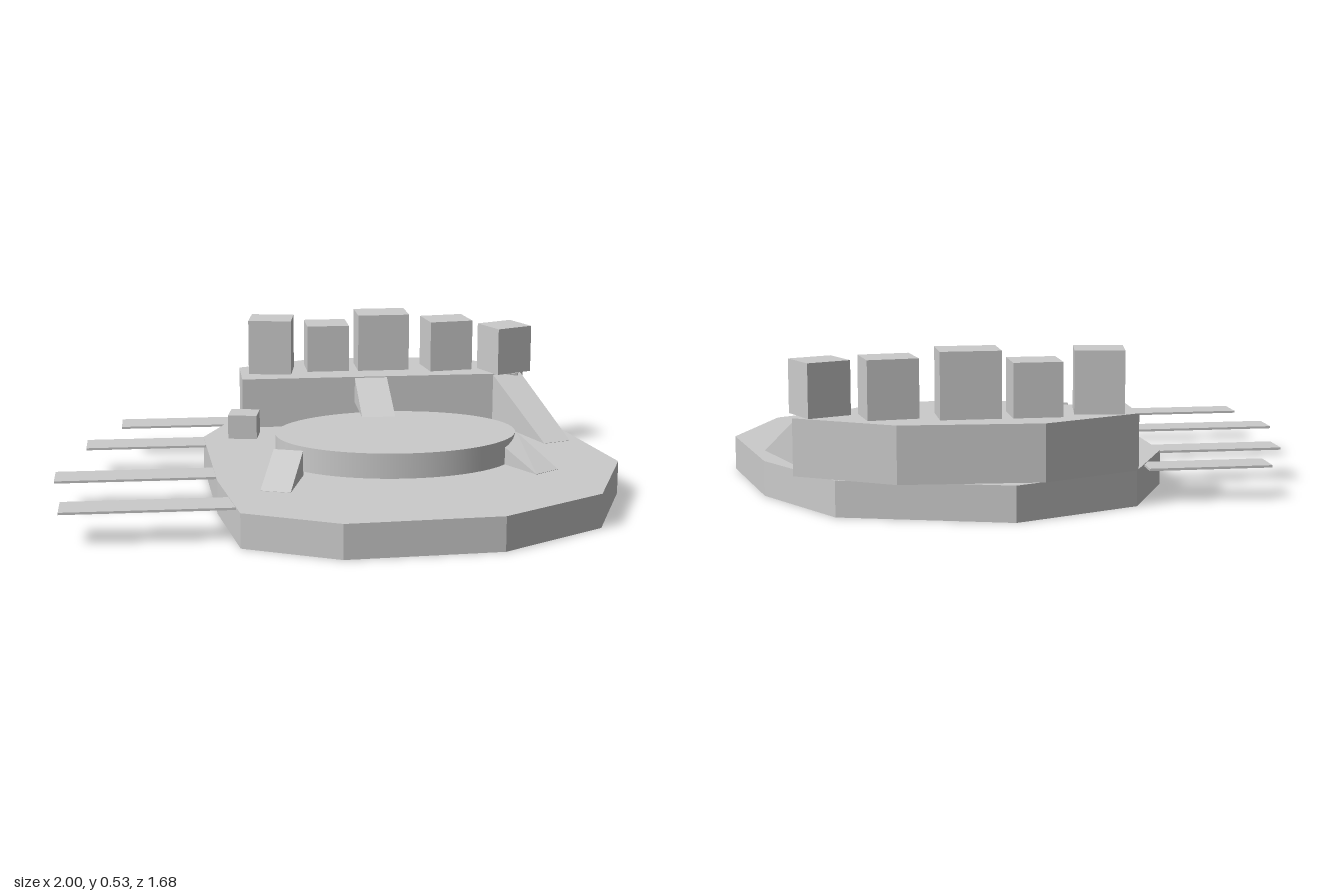
import * as THREE from 'three';

const material = new THREE.MeshStandardMaterial({ color: 0xcccccc, flatShading: true });
const smooth = new THREE.MeshStandardMaterial({ color: 0xcccccc });

// Upright prism over a plan outline of [x, z] points
function prismGeometry(points, y0, y1) {
  const shape = new THREE.Shape(points.map(([x, z]) => new THREE.Vector2(x, -z)));
  const geometry = new THREE.ExtrudeGeometry(shape, { depth: y1 - y0, bevelEnabled: false });
  return geometry.rotateX(-Math.PI / 2).translate(0, y0, 0);
}

// Wedge: the first two plan points stay high, the last two drop to the bottom
function wedgeGeometry(points, y0, y1) {
  const geometry = prismGeometry(points, y0, y1);
  const p = geometry.attributes.position;
  for (let i = 0; i < p.count; i++) {
    const low = points.slice(2).some(([x, z]) => Math.hypot(p.getX(i) - x, p.getZ(i) - z) < 1e-4);
    if (low && p.getY(i) > y0 + 0.01) p.setY(i, y0 + 0.001);
  }
  geometry.computeVertexNormals();
  return geometry;
}

export function createModel() {
  const model = new THREE.Group();
  const add = (name, geometry, mat = material) => {
    const mesh = new THREE.Mesh(geometry, mat);
    mesh.name = name;
    model.add(mesh);
    return mesh;
  };

  // Faceted ground slab
  add('base', prismGeometry([
    [0.12, -0.845], [0.68, -0.68], [0.9, -0.31], [1, 0.19], [0.84, 0.59], [0.47, 0.81],
    [-0.06, 0.84], [-0.38, 0.69], [-0.44, 0.3], [-0.45, 0.1], [-0.47, -0.31], [-0.31, -0.66],
  ], 0, 0.12));

  // Raised terrace along the back
  add('terrace', prismGeometry([
    [-0.315, -0.44], [-0.315, -0.66], [0.02, -0.81], [0.49, -0.78], [0.81, -0.59], [0.76, -0.445],
  ], 0.12, 0.31));

  // Oval central platform
  const platform = add('platform', new THREE.CylinderGeometry(1, 1, 0.09, 64), smooth);
  platform.scale.set(0.435, 1, 0.31);
  platform.position.set(0.215, 0.165, 0.03);

  // Ramps between the levels: [high edge, low edge], bottom, top
  const ramps = [
    ['terraceRamp', [[0.12, -0.45], [0.245, -0.45], [0.245, -0.195], [0.12, -0.195]], 0.209, 0.309],
    ['sideRamp', [[0.66, -0.43], [0.775, -0.47], [0.895, -0.115], [0.79, -0.08]], 0.12, 0.309],
    ['frontRightRamp', [[-0.24, 0.23], [-0.14, 0.265], [-0.2, 0.475], [-0.3, 0.44]], 0.12, 0.209],
    ['frontLeftRamp', [[0.55, 0.13], [0.65, 0.08], [0.76, 0.275], [0.67, 0.335]], 0.12, 0.209],
  ];
  for (const [name, points, y0, y1] of ramps) add(name, wedgeGeometry(points, y0, y1));

  // Block buildings: centre x, z, width, depth, turn, bottom, top
  const blocks = [
    [-0.192, -0.595, 0.165, 0.147, -0.15, 0.31, 0.52],
    [0.027, -0.627, 0.163, 0.147, 0.01, 0.31, 0.49],
    [0.245, -0.627, 0.2, 0.15, 0.01, 0.31, 0.53],
    [0.5, -0.597, 0.17, 0.148, 0.14, 0.31, 0.505],
    [0.718, -0.518, 0.153, 0.145, 0.41, 0.31, 0.49],
    [-0.316, -0.317, 0.108, 0.105, -0.17, 0.12, 0.21],
  ];
  for (const [x, z, w, d, turn, y0, y1] of blocks) {
    const block = add('building', new THREE.BoxGeometry(w, y1 - y0, d));
    block.position.set(x, (y0 + y1) / 2, z);
    block.rotation.y = turn;
  }

  // Thin jetties: outer end, inner end, centre z
  const jetties = [
    [-0.78, -0.36, -0.567], [-0.905, -0.44, -0.255], [-1, -0.43, 0.183], [-0.967, -0.39, 0.558],
  ];
  for (const [x0, x1, z] of jetties) {
    const jetty = add('jetty', new THREE.BoxGeometry(x1 - x0, 0.008, 0.124));
    jetty.position.set((x0 + x1) / 2, 0.114, z);
  }
  return model;
}
